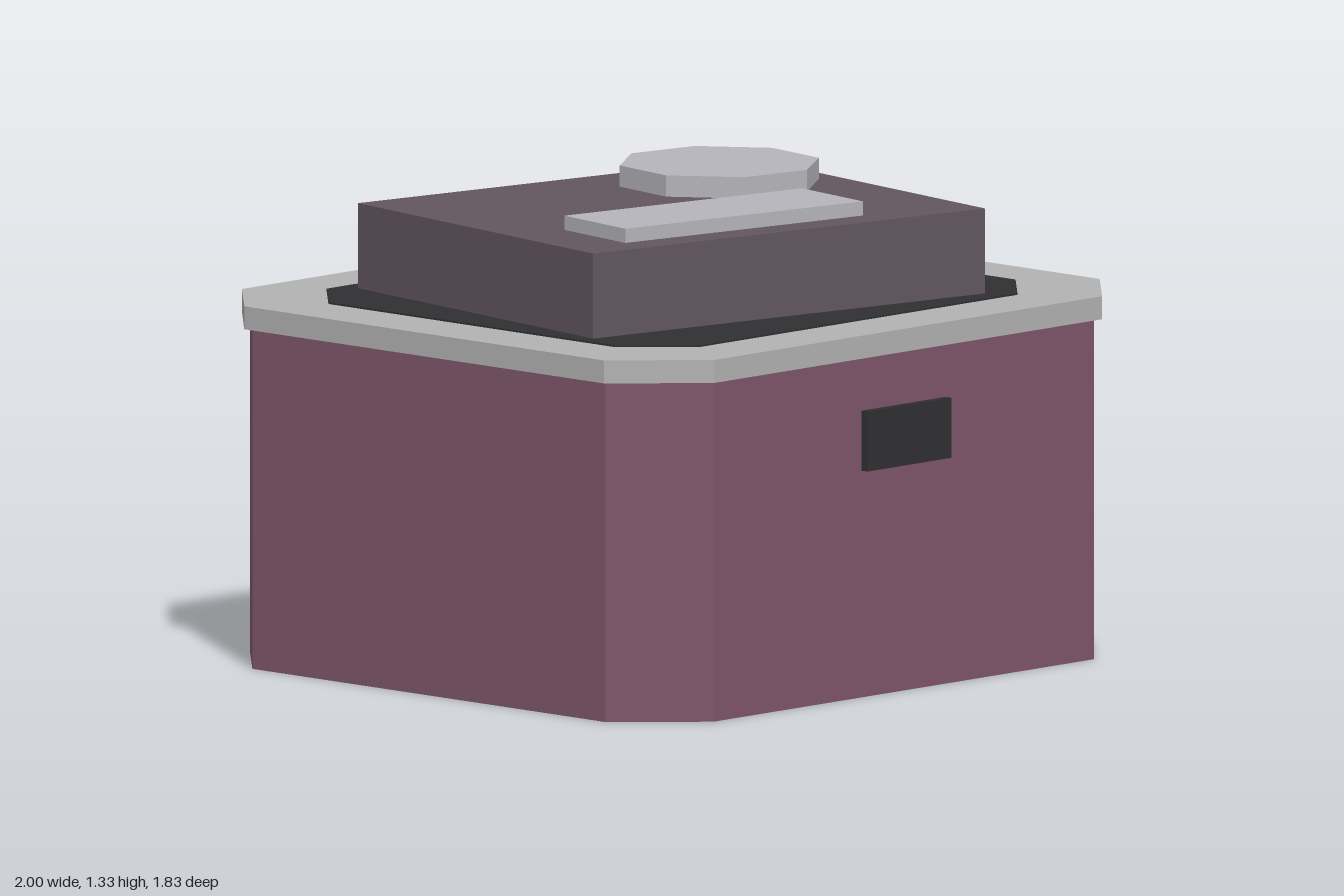
import * as THREE from 'three';

const mat = (color) => new THREE.MeshStandardMaterial({ color, flatShading: true });

// Upright slab with an octagonal outline: half sizes hx, hz and corner cut c
function chamferedSlab(name, hx, hz, c, y0, y1, material, innerHole) {
  const outline = (x, z, k) => [
    [x, z - k], [x - k, z], [k - x, z], [-x, z - k],
    [-x, k - z], [k - x, -z], [x - k, -z], [x, k - z],
  ].map(([a, b]) => new THREE.Vector2(a, b));
  const shape = new THREE.Shape(outline(hx, hz, c));
  if (innerHole) shape.holes.push(new THREE.Path(outline(...innerHole)));
  const geometry = new THREE.ExtrudeGeometry(shape, { depth: y1 - y0, bevelEnabled: false });
  geometry.rotateX(-Math.PI / 2).translate(0, y0, 0);
  const mesh = new THREE.Mesh(geometry, material);
  mesh.name = name;
  return mesh;
}

function part(name, geometry, material, x, y, z, ry = 0) {
  const mesh = new THREE.Mesh(geometry, material);
  mesh.name = name;
  mesh.position.set(x, y, z);
  mesh.rotation.y = ry;
  return mesh;
}

export function createModel() {
  const model = new THREE.Group();
  model.name = 'cutCornerBox';
  const plum = mat(0x80566a);
  const mauve = mat(0x62565f);
  const dark = mat(0x303032);
  const rimGrey = mat(0xb2b2b2);
  const paleGrey = mat(0xb4b4ba);
  const tilt = -THREE.MathUtils.degToRad(10);

  // Body, rim and dark inset, all with cut corners
  const shell = new THREE.Group();
  shell.name = 'shell';
  shell.position.z = -0.003;
  shell.add(
    chamferedSlab('body', 0.98, 0.895, 0.213, 0, 0.96, plum),
    chamferedSlab('rim', 1, 0.911, 0.217, 0.96, 1.025, rimGrey),
    chamferedSlab('inset', 0.808, 0.723, 0.17, 0.97, 1.03, dark),
  );
  model.add(shell);

  // Label plate on the front
  model.add(part('frontPlate', new THREE.BoxGeometry(0.34, 0.17, 0.04), dark, 0, 0.725, 0.894));

  // Turned block on top, carrying a bar and an eight-sided knob
  model.add(
    part('topBlock', new THREE.BoxGeometry(1.355, 0.24, 1.11), mauve, 0, 1.15, -0.005, tilt),
    part('bar', new THREE.BoxGeometry(0.822, 0.06, 0.288), paleGrey, -0.135, 1.28, 0.287, tilt),
    part('knob', new THREE.CylinderGeometry(0.286, 0.286, 0.08, 8, 1, false, Math.PI / 8),
      paleGrey, 0.386, 1.29, -0.19, tilt),
  );
  return model;
}
